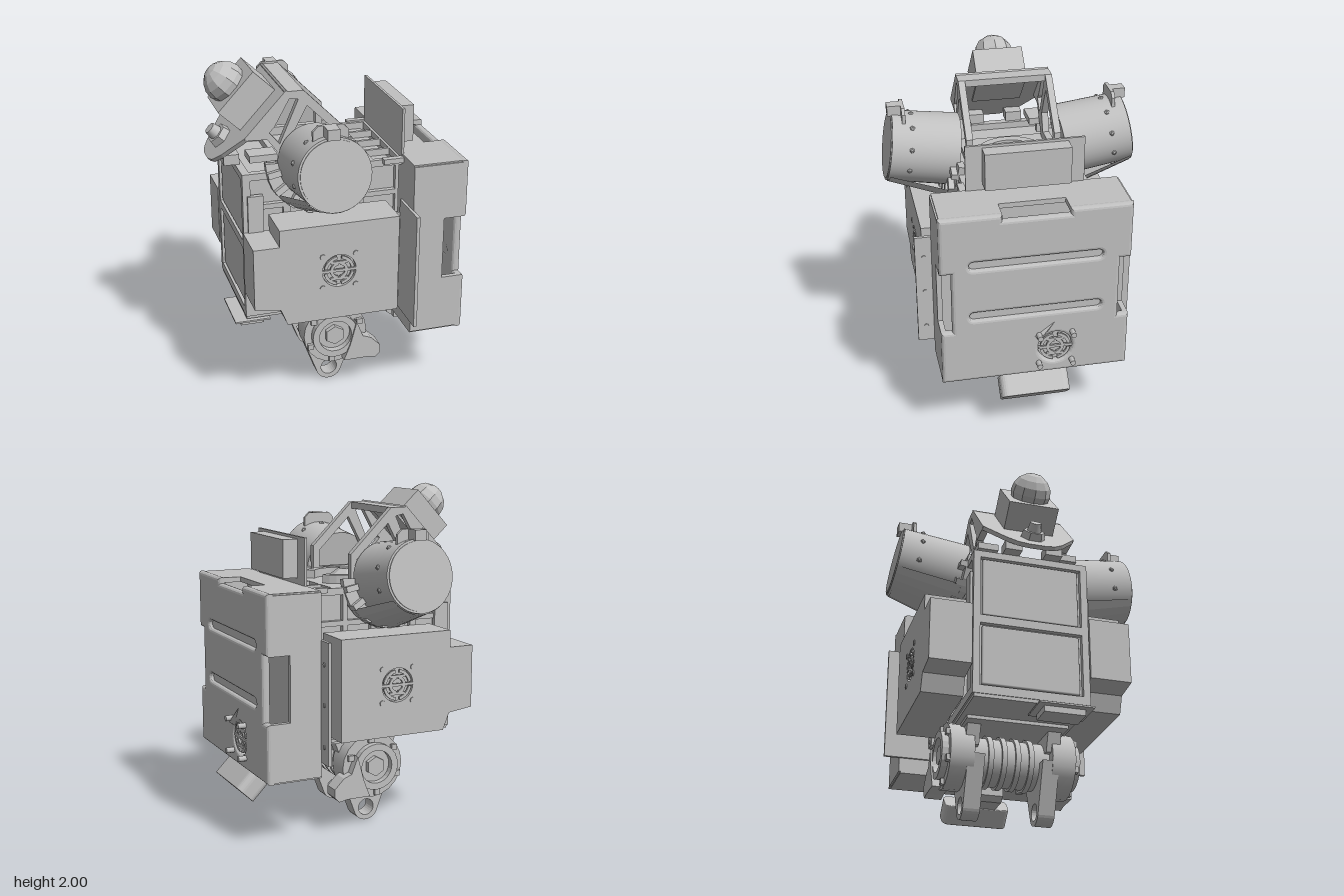
import * as THREE from 'three';
import { RoundedBoxGeometry } from 'three/addons/geometries/RoundedBoxGeometry.js';

const metal = new THREE.MeshStandardMaterial({ color: 0xc0c0c0, side: THREE.DoubleSide });
metal.name = 'grey metal';

const add = (parent, name, geo, x = 0, y = 0, z = 0) => {
  const m = new THREE.Mesh(geo, metal);
  m.name = name;
  m.position.set(x, y, z);
  parent.add(m);
  return m;
};
// box given by its min and max corners
const block = (parent, name, x0, x1, y0, y1, z0, z1, r = 0) => {
  const s = [x1 - x0, y1 - y0, z1 - z0];
  const geo = r ? new RoundedBoxGeometry(...s, 2, r) : new THREE.BoxGeometry(...s);
  return add(parent, name, geo, (x0 + x1) / 2, (y0 + y1) / 2, (z0 + z1) / 2);
};
const pts = a => a.map(p => new THREE.Vector2(...p));
const rect = (a0, a1, b0, b1) => [[a0, b0], [a1, b0], [a1, b1], [a0, b1]];
const arc = (cx, cy, r, a0 = 0, a1 = Math.PI * 2, n = 24) =>
  Array.from({ length: n + 1 }, (_, i) => {
    const a = a0 + (a1 - a0) * i / n;
    return [cx + r * Math.cos(a), cy + r * Math.sin(a)];
  });
const ring = (cx, cy, r) => arc(cx, cy, r).slice(0, -1);
// rectangle with rounded corners, centred on the origin
const roundRect = (w, h, r) => [[1, 1], [-1, 1], [-1, -1], [1, -1]].flatMap(([sx, sy], i) =>
  arc(sx * (w / 2 - r), sy * (h / 2 - r), r, i * Math.PI / 2, (i + 1) * Math.PI / 2, 5));
// plate centred on its thickness; axis is the direction it faces (outline in xy, zy or xz)
const plate = (outline, holes, depth, axis = 'z', b = 0) => {
  const s = new THREE.Shape(pts(outline));
  s.holes = holes.map(h => new THREE.Path(pts(h)));
  const g = new THREE.ExtrudeGeometry(s, { depth, bevelEnabled: b > 0, bevelSize: b, bevelThickness: b, bevelSegments: 3 });
  g.translate(0, 0, -depth / 2);
  if (axis === 'x') g.rotateY(-Math.PI / 2);
  if (axis === 'y') g.rotateX(Math.PI / 2);
  return g;
};
const drum = (r0, r1, len, n = 40) => new THREE.CylinderGeometry(r1, r0, len, n).rotateX(Math.PI / 2);
const faceted = g => {
  const f = g.toNonIndexed();
  f.computeVertexNormals();
  return f;
};

// fan grille lying in the xy plane: two broken rings, a cross and corner screws
function fan(parent, x, y, z, r, screwLen) {
  const g = new THREE.Group();
  g.name = 'fanGrille';
  g.position.set(x, y, z);
  for (let i = 0; i < 4; i++) {
    const a = i * Math.PI / 2;
    for (const k of [0.35, 0.72])
      add(g, 'grilleArc', plate([...arc(0, 0, r * (k + 0.18), a + 0.15, a + 1.4, 8), ...arc(0, 0, r * k, a + 1.4, a + 0.15, 8)], [], 0.012));
    add(g, 'grilleSpoke', new THREE.BoxGeometry(r, 0.016, 0.012), Math.cos(a) * r / 2, Math.sin(a) * r / 2);
    add(g, 'fanScrew', drum(0.017, 0.017, screwLen, 8), Math.cos(a + 0.785) * r * 1.38, Math.sin(a + 0.785) * r * 1.38, 0);
  }
  parent.add(g);
  return g;
}

function torso(root) {
  block(root, 'torsoCore', -0.56, 0.31, 0.57, 1.4, -0.31, 0.31);
  for (const s of [1, -1]) {
    const holes = [];
    for (const [a, b] of [[-0.55, -0.36], [-0.32, -0.1], [-0.06, 0.09], [0.12, 0.31]])
      for (const [c, d] of [[0.6, 0.85], [0.88, 1.22], [1.25, 1.4]]) holes.push(rect(a, b, c, d));
    add(root, 'sideLattice', plate(rect(-0.58, 0.33, 0.55, 1.44), holes, 0.03, 'z'), 0, 0, s * 0.325);
  }
  const deck = [rect(-0.55, -0.35, -0.3, 0.3)];
  for (const c of [-0.31, -0.15, 0.01, 0.17]) deck.push(rect(0.18, 0.33, c, c + 0.14));
  add(root, 'topDeck', plate(rect(-0.58, 0.35, -0.34, 0.34), deck, 0.04, 'y'), 0, 1.42, 0);
  add(root, 'frontFrame', plate(rect(-0.34, 0.34, 0.55, 1.44), [rect(-0.3, 0.3, 0.6, 0.98), rect(-0.3, 0.3, 1.03, 1.4)], 0.03, 'x'), -0.58, 0, 0);
  for (const y of [0.79, 1.215]) block(root, 'frontPanel', -0.585, -0.56, y - 0.18, y + 0.18, -0.285, 0.285, 0.01);
  block(root, 'basePlate', -0.59, 0.33, 0.53, 0.57, -0.33, 0.33);
  block(root, 'frontShelf', -0.62, -0.48, 0.475, 0.51, 0.06, 0.3);
  block(root, 'baseTab', -0.66, -0.45, 0.51, 0.52, 0.02, 0.34);
  // turntable between the shoulders
  add(root, 'turntableRing', plate(arc(-0.03, 0, 0.21, 0.6, 5.7).concat(arc(-0.03, 0, 0.16, 5.7, 0.6)), [], 0.05, 'y'), 0, 1.465, 0);
  add(root, 'turntableHub', faceted(new THREE.CylinderGeometry(0.05, 0.15, 0.07, 7)), -0.07, 1.47, 0);
  for (const s of [1, -1]) {
    block(root, 'deckBlock', -0.54, -0.38, 1.49, 1.53, s * 0.24 - 0.06, s * 0.24 + 0.06);
    block(root, 'deckBlockPost', -0.44, -0.39, 1.43, 1.49, s * 0.26 - 0.03, s * 0.26 + 0.03);
    block(root, 'deckFoot', -0.66, -0.57, 1.44, 1.5, s * 0.12 - 0.05, s * 0.12 + 0.05);
    block(root, 'deckClip', 0.23, 0.35, 1.42, 1.45, s * 0.35 - 0.02, s * 0.35 + 0.02);
  }
}

function sideUnit(root, s) {
  // stepped housing with a fan
  const out = [[-0.6, 0.72], [-0.45, 0.7], [-0.41, 0.6], [0.25, 0.6], [0.25, 1.19], [-0.45, 1.19], [-0.45, 1.09], [-0.6, 1.09]];
  add(root, 'sideHousing', plate(out, [], 0.21), 0, 0, s * 0.45);
  add(root, 'sideCover', plate(out, [ring(-0.105, 0.9, 0.1)], 0.036), 0, 0, s * 0.57);
  fan(root, -0.105, 0.9, s * 0.582, 0.1, 0.025);
  block(root, 'frontConnector', -0.57, -0.48, 1.09, 1.31, s * 0.34 - 0.015, s * 0.34 + 0.015);
  // angle bracket joining housing and backpack
  block(root, 'bracketWeb', 0.26, 0.335, 0.56, 1.11, s * 0.36 - 0.01, s * 0.36 + 0.01);
  block(root, 'bracketFlange', 0.335, 0.355, 0.49, 1.19, s * 0.5 - 0.14, s * 0.5 + 0.14);
  for (const y of [0.59, 0.83, 1.06]) {
    add(root, 'bracketBolt', drum(0.012, 0.012, 0.02, 8), 0.3, y, s * 0.365);
    add(root, 'flangeBolt', new THREE.CylinderGeometry(0.013, 0.013, 0.02, 8).rotateZ(Math.PI / 2), 0.35, y, s * 0.59);
  }
}

function backpack(root) {
  const b = 0.02;
  const half = [[0.525, 0.415], [0.525, 0.72], [0.46, 0.72], [0.46, 1.14], [0.525, 1.14], [0.525, 1.445], [0.21, 1.445], [0.21, 1.41]];
  const outline = [...half, ...half.map(([z, y]) => [-z, y]).reverse()];
  const slot = y => [...arc(0.355, y, 0.045, -1.57, 1.57, 8), ...arc(-0.355, y, 0.045, 1.57, 4.71, 8)];
  add(root, 'backpackBack', plate(outline, [slot(1.16), slot(0.83), ring(-0.115, 0.565, 0.12)], 0.01, 'x', b), 0.655, 0, 0);
  for (const y of [1.16, 0.83]) block(root, 'grooveFloor', 0.635, 0.655, y - 0.05, y + 0.05, -0.41, 0.41);
  block(root, 'fanFloor', 0.62, 0.64, 0.44, 0.69, -0.24, 0.01);
  const side = [[0.35, 0.405], [0.66, 0.405], [0.66, 0.74], [0.54, 0.74], [0.54, 1.12], [0.66, 1.12], [0.66, 1.455], [0.35, 1.455]];
  for (const s of [1, -1]) add(root, 'backpackSide', plate(side, [], 0.03), 0, 0, s * 0.53);
  add(root, 'backpackTop', plate([[0.35, -0.535], [0.66, -0.535], [0.66, -0.19], [0.54, -0.19], [0.54, 0.19], [0.66, 0.19], [0.66, 0.535], [0.35, 0.535]], [], 0.03, 'y'), 0, 1.448, 0);
  block(root, 'backpackFloor', 0.35, 0.66, 0.395, 0.425, -0.535, 0.535);
  block(root, 'backpackInnerWall', 0.35, 0.37, 0.41, 1.45, -0.52, 0.52);
  fan(root, 0.668, 0.565, -0.115, 0.1, 0.12).rotation.y = Math.PI / 2;
  add(root, 'fanSpike', faceted(new THREE.ConeGeometry(0.03, 0.17, 4)), 0.675, 0.7, -0.07).rotation.x = -0.75;
  // upright panel above
  block(root, 'uprightPlate', 0.345, 0.36, 1.44, 1.735, -0.34, 0.34);
  block(root, 'uprightBox', 0.36, 0.45, 1.5, 1.72, -0.245, 0.245);
  // lower rear light on an arm
  add(root, 'rearLight', plate(roundRect(0.4, 0.13, 0.035), [], 0.12, 'x', 0.005), 0.63, 0.28, 0).rotation.z = -0.8;
  add(root, 'lightArm', plate([[0.36, 0.4], [0.38, 0.33], [0.53, 0.33], [0.6, 0.36], [0.57, 0.29], [0.54, 0.28], [0.4, 0.28], [0.36, 0.31]], [], 0.22));
  for (const s of [1, -1]) block(root, 'lightBracket', 0.36, 0.39, 0.34, 0.41, s * 0.22 - 0.02, s * 0.22 + 0.02);
}

function shoulder(root, s) {
  const g = new THREE.Group();
  g.name = 'shoulder';
  g.position.set(-0.17, 1.475, s * 0.32);
  g.rotation.x = -0.15 * s;
  root.add(g);
  add(g, 'shoulderDrum', new THREE.CylinderGeometry(0.207, 0.215, 0.4, 40).rotateX(s * Math.PI / 2), 0, 0, s * 0.2);
  add(g, 'shoulderCap', drum(0.195, 0.195, 0.012), 0, 0, s * 0.4);
  // flared cradle under the drum
  const cradle = new THREE.CylinderGeometry(0.212, 0.29, 0.38, 9, 1, true, s > 0 ? -0.95 : Math.PI - 0.95, 1.9);
  add(g, 'cradle', faceted(cradle.rotateX(s * Math.PI / 2)), 0, 0, s * 0.2);
  add(g, 'cradleRim', plate([...arc(0, 0, 0.29, 3.1, 6.33, 12), ...arc(0, 0, 0.2, 6.33, 3.1, 12)], [], 0.04));
  for (let i = 0; i < 8; i++) {
    const a = Math.PI * (1.06 + i * 0.126);
    const rib = add(g, 'cradleRib', new THREE.BoxGeometry(0.08, 0.035, 0.07), 0.25 * Math.cos(a), 0.25 * Math.sin(a), s * 0.02);
    rib.rotation.z = a;
  }
  for (let i = 0; i < 10; i++) {
    const a = i * Math.PI / 5 + 0.31;
    add(g, 'drumBolt', new THREE.IcosahedronGeometry(0.017), 0.206 * Math.cos(a), 0.206 * Math.sin(a), s * 0.285);
  }
  // clip on top of the drum
  add(root, 'clipPlate', plate([[-0.27, 1.68], [-0.07, 1.68], [-0.07, 1.76], [-0.1, 1.79], [-0.24, 1.79], [-0.27, 1.76]], [], 0.02), 0, 0, s * 0.622);
  block(root, 'clipTab', -0.21, -0.14, 1.73, 1.79, s * 0.665 - 0.045, s * 0.665 + 0.045);
  block(root, 'shoulderMount', -0.42, 0.1, 1.4, 1.46, s * 0.31 - 0.03, s * 0.31 + 0.03);
}

function head(root) {
  const truss = [[-0.56, 1.62], [-0.31, 1.88], [-0.22, 1.88], [0.04, 1.62], [0.04, 1.44], [-0.31, 1.44], [-0.43, 1.61]];
  const windows = [[[-0.42, 1.65], [-0.39, 1.68], [-0.3, 1.84], [-0.25, 1.83], [-0.36, 1.58]], [[-0.2, 1.79], [0, 1.59], [0, 1.49], [-0.26, 1.49], [-0.3, 1.6]]];
  for (const s of [1, -1]) add(root, 'headTruss', plate(truss, windows, 0.04), 0, 0, s * 0.26);
  block(root, 'trussTopBar', -0.33, -0.22, 1.84, 1.88, -0.28, 0.28);
  // tilted face: local x runs up the plate, local y points outward
  const g = new THREE.Group();
  g.name = 'sensorFace';
  g.position.set(-0.515, 1.66, 0);
  g.rotation.z = 0.82;
  root.add(g);
  const edge = [[0.3, 0.28], [-0.05, 0.28], [-0.22, 0.17], [-0.28, 0.11], [-0.3, 0.05]];
  add(g, 'facePlate', plate([...edge, ...edge.map(([x, z]) => [x, -z]).reverse()], [], 0.025, 'y'));
  block(g, 'sensorBox', -0.045, 0.255, -0.025, 0.18, -0.15, 0.15);
  add(g, 'sensorDome', faceted(new THREE.SphereGeometry(0.12, 10, 8)), 0.1, 0.215, 0);
  add(g, 'lensBase', faceted(new THREE.CylinderGeometry(0.065, 0.075, 0.05, 6)), -0.16, 0.03, 0);
  add(g, 'lens', new THREE.CylinderGeometry(0.035, 0.045, 0.06, 8), -0.16, 0.075, 0);
}

function hips(root) {
  add(root, 'hipAxle', drum(0.14, 0.14, 0.6, 24), -0.05, 0.36, 0);
  for (const z of [-0.12, -0.04, 0.04, 0.12]) add(root, 'axleHoop', drum(0.155, 0.155, 0.03, 24), -0.05, 0.36, z);
  block(root, 'hipBracket', -0.33, 0.22, 0.51, 0.56, -0.3, 0.3);
  for (const s of [1, -1]) {
    add(root, 'hipHousing', drum(0.195, 0.195, 0.14, 20), -0.06, 0.37, s * 0.3);
    add(root, 'hipRing', plate(ring(-0.07, 0.37, 0.14), [ring(-0.07, 0.37, 0.1)], 0.05), 0, 0, s * 0.385);
    add(root, 'hipHub', faceted(drum(0.06, 0.06, 0.05, 6)), -0.07, 0.37, s * 0.375);
    for (let i = 0; i < 6; i++) {
      const a = i * Math.PI / 3 + 0.4;
      add(root, 'hipBolt', new THREE.BoxGeometry(0.035, 0.035, 0.03), -0.065 + 0.165 * Math.cos(a), 0.37 + 0.165 * Math.sin(a), s * 0.375);
    }
    add(root, 'hipHanger', plate([[-0.28, 0.56], [0.16, 0.56], [0.1, 0.4], [-0.22, 0.4]], [], 0.08), 0, 0, s * 0.24);
    add(root, 'legLink', plate([[0.11, 0.34], [-0.25, 0.34], ...arc(-0.07, 0.08, 0.08, 3.4, 6.02, 14)], [ring(-0.07, 0.08, 0.05)], 0.1), 0, 0, s * 0.22);
    add(root, 'hipLobe', plate([[0.06, 0.45], [0.1, 0.35], [0.15, 0.33], [0.21, 0.27], [0.21, 0.22], [0.18, 0.19], [0.13, 0.2], [-0.02, 0.2], [0.02, 0.3]], [], 0.1), 0, 0, s * 0.37);
  }
}

export function createModel() {
  const root = new THREE.Group();
  root.name = 'robotTorso';
  torso(root);
  backpack(root);
  head(root);
  hips(root);
  for (const s of [1, -1]) {
    sideUnit(root, s);
    shoulder(root, s);
  }
  return root;
}
